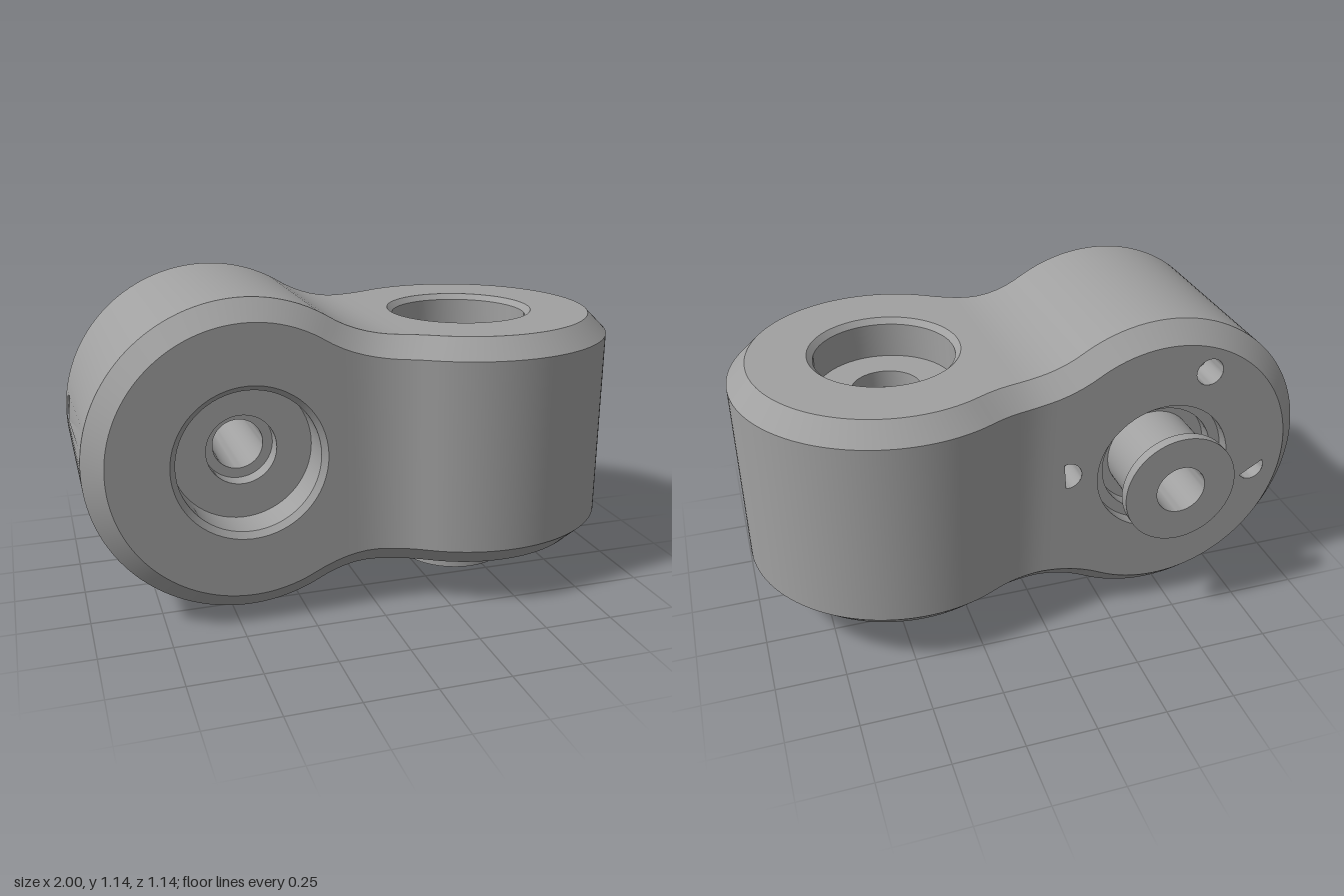
import * as THREE from 'three';
import { mergeVertices, toCreasedNormals } from 'three/addons/utils/BufferGeometryUtils.js';

// Two round joints at right angles: joint A turns about z at x = -CX,
// joint B is the same half turned 180 degrees about the axis (0, 1, 1).
const CX = 0.45, R = 0.55, FILLET = 0.45, CH = 0.07, MID = 0.02, N = 96;
const band = s => (s > 0 ? 0.395 : 0.435);
const reach = s => Math.sqrt((R + FILLET) ** 2 - (band(s) + FILLET) ** 2);
const stationX = k => -Math.cos(Math.PI * k / N);

// Half width of a joint outline (circle, fillet, straight band), inset by o
function outline(t, s, o) {
  const e = reach(s);
  if (t < e * (R - o) / (R + FILLET)) return Math.sqrt(Math.max(0, (R - o) ** 2 - t * t));
  if (t < e) return band(s) + FILLET - Math.sqrt((FILLET + o) ** 2 - (e - t) ** 2);
  return band(s) - o;
}

// Lengthwise part of the outline normal
function lean(t, s) {
  const e = reach(s);
  if (t < e * R / (R + FILLET)) return t / R;
  return t < e ? (e - t) / FILLET : 0;
}

// Chamfer edges on the y walls and on the z walls
function edgeY(k, sy, sz) {
  const x0 = stationX(k), x = x0 + CH * lean(CX - x0, sz);
  return [x, MID + sy * outline(x + CX, sy, 0), MID + sz * outline(CX - x, sz, CH)];
}
function edgeZ(k, sy, sz) {
  const x0 = stationX(k), x = x0 - CH * lean(x0 + CX, sy);
  return [x, MID + sy * outline(x + CX, sy, CH), MID + sz * outline(CX - x, sz, 0)];
}

function lastStation(s) {
  let k = 0;
  while (stationX(k) < reach(s) - CX) k++;
  return k;
}

// Turns a list of triangle corners to face the given direction
function facing(points, out) {
  const sum = new THREE.Vector3(), want = new THREE.Vector3(...out);
  const v = points.map(p => new THREE.Vector3(...p));
  for (let i = 0; i < v.length; i += 3) {
    sum.add(v[i + 1].clone().sub(v[i]).cross(v[i + 2].clone().sub(v[i])));
  }
  if (sum.dot(want) < 0) {
    for (let i = 0; i < points.length; i += 3) {
      [points[i + 1], points[i + 2]] = [points[i + 2], points[i + 1]];
    }
  }
  return points;
}

function strip(a, b, k0, k1, out) {
  const pts = [];
  for (let k = k0; k < k1; k++) {
    pts.push(a(k), b(k), a(k + 1), a(k + 1), b(k), b(k + 1));
  }
  return facing(pts, out);
}

// Fills a flattened outline with round holes [u, v, r], then lifts it into place
function panel(loop, holes, lift, out) {
  const shape = new THREE.Shape(loop.map(p => new THREE.Vector2(...p)));
  for (const [u, v, r] of holes) {
    shape.holes.push(new THREE.Path().absarc(u, v, r, 0, Math.PI * 2, true));
  }
  const g = new THREE.ShapeGeometry(shape, 32).toNonIndexed(), p = g.attributes.position, pts = [];
  for (let i = 0; i < p.count; i++) pts.push(lift(p.getX(i), p.getY(i)));
  return facing(pts, out);
}

function solid(points, smooth) {
  let g = new THREE.BufferGeometry();
  g.setAttribute('position', new THREE.Float32BufferAttribute(points.flat(), 3));
  if (smooth) g = mergeVertices(g, 1e-5);
  g.computeVertexNormals();
  return g;
}

function turned(profile, segments) {
  const pts = profile.map(p => new THREE.Vector2(...p));
  return toCreasedNormals(new THREE.LatheGeometry(pts, segments), 0.5);
}

// Blind hole lining that opens towards -y
const cup = (r, depth) => turned([[0, depth], [r, depth], [r, 0]], 32);

export function createModel() {
  const model = new THREE.Group();
  model.name = 'rightAngleJoint';
  const grey = new THREE.MeshStandardMaterial({ color: 0xa0a0a0 });
  grey.name = 'grey';
  const add = (parent, geometry, name, x = 0, y = 0, z = 0) => {
    const mesh = new THREE.Mesh(geometry, grey);
    mesh.name = name;
    mesh.position.set(x, y, z);
    parent.add(mesh);
  };

  function makeJoint(name, drilled, turn) {
    const joint = new THREE.Group();
    joint.name = name;
    const wall = [], caps = [];
    const screws = [[0.36, 0.03], [-0.15, 0.36], [-0.36, -0.07]]
      .map(([x, y]) => [-CX + turn * x, MID + turn * y, 0.05]);

    // Curved wall, with an end hole and a neck hole on the drilled joint
    for (const sy of [1, -1]) {
      const a = k => edgeY(k, sy, 1), b = k => edgeY(k, sy, -1), end = lastStation(sy);
      if (!drilled) {
        wall.push(...strip(a, b, 0, end, [0, sy, 0]));
        continue;
      }
      const [k0, k1] = sy > 0 ? [0, 6] : [41, 46];
      if (k0 > 0) wall.push(...strip(a, b, 0, k0, [0, sy, 0]));
      wall.push(...strip(a, b, k1, end, [0, sy, 0]));
      const ring = [];
      for (let k = k0; k <= k1; k++) ring.push(a(k));
      for (let k = k1; k >= k0; k--) ring.push(b(k));
      if (sy > 0) {
        wall.push(...panel(ring.map(p => [p[1], p[2]]), [[0.08, -0.22, 0.045]],
          (y, z) => [-CX - Math.sqrt(R * R - (y - MID) ** 2), y, z], [-1, 0, 0]));
      } else {
        wall.push(...panel(ring.map(p => [p[0], p[2]]), [[-0.15, 0, 0.045]],
          (x, z) => [x, MID - outline(x + CX, -1, 0), z], [0, -1, 0]));
      }
    }
    add(joint, solid(wall, true), 'curvedWall');

    // Flat faces with the bore and the screw holes
    for (const sz of [1, -1]) {
      const end = N - lastStation(sz), loop = [];
      for (let k = 0; k <= end; k++) loop.push(edgeZ(k, 1, sz).slice(0, 2));
      for (let k = end; k > 0; k--) loop.push(edgeZ(k, -1, sz).slice(0, 2));
      const bore = [-CX, MID, sz > 0 ? 0.27 : 0.25];
      caps.push(...panel(loop, sz > 0 ? [bore] : [bore, ...screws],
        (x, y) => [x, y, sz * 0.415], [0, 0, sz]));
    }
    add(joint, solid(caps, false), 'flatFaces');

    // Stepped bore, hollow pin with flange, and the recess around the pin
    add(joint, turned([
      [0.27, 0.415], [0.25, 0.395], [0.25, 0.265], [0.125, 0.265], [0.125, 0.2], [0.09, 0.2],
      [0.09, -0.567], [0.205, -0.567], [0.205, -0.53], [0.165, -0.53], [0.165, -0.3],
      [0.21, -0.3], [0.21, -0.36], [0.25, -0.36], [0.25, -0.415],
    ], 64).rotateX(Math.PI / 2), 'boreAndPin', -CX, MID, 0);

    for (const [x, y, r] of screws) {
      add(joint, cup(r, 0.12).rotateX(Math.PI / 2), 'screwHole', x, y, -0.415);
    }
    if (drilled) {
      add(joint, cup(0.045, 0.12).rotateZ(-Math.PI / 2), 'endHole', -0.996, 0.08, -0.22);
      add(joint, cup(0.045, 0.12), 'neckHole', -0.15, MID - outline(CX - 0.15, -1, 0), 0);
    }
    model.add(joint);
    return joint;
  }

  makeJoint('jointA', true, 1);
  makeJoint('jointB', false, -1)
    .setRotationFromAxisAngle(new THREE.Vector3(0, 1, 1).normalize(), Math.PI);

  // Chamfers along the four long edges
  const chamfer = [];
  for (const sy of [1, -1]) {
    for (const sz of [1, -1]) {
      chamfer.push(...strip(k => edgeY(k, sy, sz), k => edgeZ(k, sy, sz), 0, N, [0, sy, sz]));
    }
  }
  add(model, solid(chamfer, true), 'chamfer');

  model.position.set(0, 0.567, -0.005);
  const root = new THREE.Group();
  root.name = 'model';
  root.add(model);
  return root;
}
